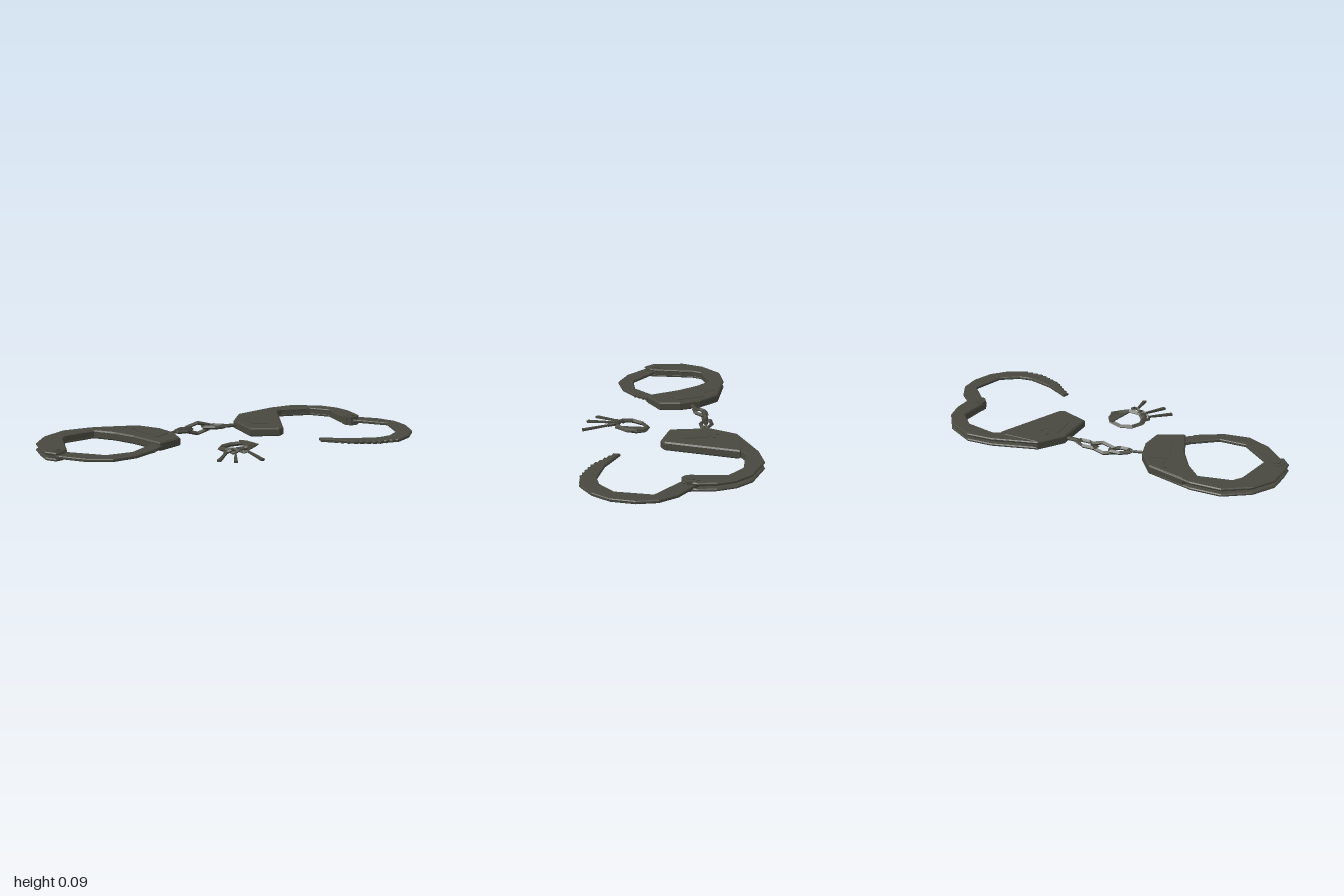
import * as THREE from 'three';

const steel = new THREE.MeshStandardMaterial({ color: 0x48483f, flatShading: true, side: THREE.DoubleSide });
steel.name = 'dark steel';

function add(parent, name, geometry) {
  const mesh = new THREE.Mesh(geometry, steel);
  mesh.name = name;
  parent.add(mesh);
  return mesh;
}

// Flat part: an [x, z] outline raised from y0 to y1, with a chamfer kept inside the outline
function slab(parent, name, pts, y0, y1, bevel = 0) {
  const shape = new THREE.Shape(pts.map(([x, z]) => new THREE.Vector2(x, -z)));
  const geo = new THREE.ExtrudeGeometry(shape, {
    depth: y1 - y0 - 2 * bevel, bevelEnabled: bevel > 0, bevelSegments: 1,
    bevelThickness: bevel, bevelSize: bevel, bevelOffset: -bevel,
  });
  geo.rotateX(-Math.PI / 2);
  geo.translate(0, y0 + bevel, 0);
  return add(parent, name, geo);
}

const inset = (pts, [cx, cz], t) => pts.map(([x, z]) => [x + (cx - x) * t, z + (cz - z) * t]);

// Adds ratchet teeth to the polyline from index 'from' to its end
function toothed(pts, from, centre, pitch = 0.035, depth = 0.013) {
  const out = pts.slice(0, from);
  for (let i = from; i < pts.length - 1; i++) {
    const [a, b] = [pts[i], pts[i + 1]];
    const n = Math.max(1, Math.round(Math.hypot(b[0] - a[0], b[1] - a[1]) / pitch));
    for (let k = 0; k < n; k++) {
      const at = t => [a[0] + (b[0] - a[0]) * t, a[1] + (b[1] - a[1]) * t];
      out.push(at(k / n));
      const tip = at((k + 0.8) / n);
      const r = Math.hypot(tip[0] - centre[0], tip[1] - centre[1]);
      out.push(inset([tip], centre, -depth / r)[0]);
    }
  }
  out.push(pts[pts.length - 1]);
  return out;
}

function cuff(name, d) {
  const g = new THREE.Group();
  g.name = name;
  // Two side plates with a recessed spacer between them
  const frame = [...d.outer, ...d.inner];
  slab(g, 'upperFramePlate', frame, 0.054, 0.069, 0.005);
  slab(g, 'lowerFramePlate', frame, 0.021, 0.036, 0.005);
  slab(g, 'frameSpacer', [...inset(d.outer, d.centre, 0.1), ...d.inner], 0.033, 0.057);
  // Lock housing with its cover plate and keyholes
  slab(g, 'lockHousing', d.housing, 0.02, 0.071, 0.008);
  slab(g, 'lockCover', d.cover, 0.07, 0.074);
  for (const [x, z] of d.holes)
    add(g, 'keyhole', new THREE.CylinderGeometry(0.01, 0.01, 0.006, 6)).position.set(x, 0.072, z);
  // Swinging ratchet arm
  slab(g, 'ratchetArm', [...toothed(d.armOuter, d.teethFrom, d.armCentre), ...d.armInner], 0.036, 0.054, 0.004);
  // Hinge pin
  const pin = (r, h, part) => {
    const m = add(g, part, new THREE.CylinderGeometry(r, r, h, 8));
    m.position.set(d.pivot[0], 0.045, d.pivot[1]);
  };
  pin(0.05, 0.054, 'hingeBoss');
  pin(0.026, 0.062, 'hingeRivet');
  return g;
}

// Thin round bar between two [x, y, z] points
function rod(parent, name, a, b, r) {
  const [p, q] = [new THREE.Vector3(...a), new THREE.Vector3(...b)];
  const m = add(parent, name, new THREE.CylinderGeometry(r, r, p.distanceTo(q), 6));
  m.position.copy(p).add(q).multiplyScalar(0.5);
  m.quaternion.setFromUnitVectors(new THREE.Vector3(0, 1, 0), q.sub(p).normalize());
}

// Six-sided oval chain link between two [x, z] ends
function link(parent, a, b, upright) {
  const dir = new THREE.Vector3(b[0] - a[0], 0, b[1] - a[1]);
  const half = dir.length() / 2;
  dir.normalize();
  const up = new THREE.Vector3(0, 1, 0);
  const side = new THREE.Vector3().crossVectors(dir, up);
  const geo = new THREE.TorusGeometry(0.033, 0.012, 4, 6);
  geo.scale(1, half / 0.039, 1);
  const basis = upright
    ? new THREE.Matrix4().makeBasis(up, dir, side.clone().negate())
    : new THREE.Matrix4().makeBasis(side, dir, up);
  geo.applyMatrix4(basis);
  add(parent, 'chainLink', geo).position.set((a[0] + b[0]) / 2, 0.045, (a[1] + b[1]) / 2);
}

// Small key: ring bow, tapering shank and a bit at the tip
function key(parent, bow, tip, y, drop) {
  const g = new THREE.Group();
  g.name = 'key';
  const len = Math.hypot(tip[0] - bow[0], tip[1] - bow[1]);
  const ring = new THREE.TorusGeometry(0.027, 0.009, 4, 7);
  ring.rotateX(Math.PI / 2 + 0.4);
  add(g, 'keyBow', ring);
  slab(g, 'keyShank', [[0.03, -0.004], [len, -0.011], [len, 0.011], [0.03, 0.004]], -0.006, 0.006);
  g.position.set(bow[0], y, bow[1]);
  g.rotation.set(0, -Math.atan2(tip[1] - bow[1], tip[0] - bow[0]), -drop, 'YXZ');
  parent.add(g);
}

export function createModel() {
  const model = new THREE.Group();
  model.name = 'handcuffs';

  model.add(cuff('closedCuff', {
    centre: [-0.4, 0.65], pivot: [-0.41, 0.93],
    outer: [[-0.35, 0.975], [-0.42, 1.0], [-0.50, 0.975], [-0.615, 0.925], [-0.705, 0.81], [-0.745, 0.645],
      [-0.69, 0.48], [-0.53, 0.25], [-0.38, 0.2]],
    inner: [[-0.3, 0.4], [-0.485, 0.46], [-0.61, 0.52], [-0.635, 0.7], [-0.6, 0.75], [-0.39, 0.875], [-0.36, 0.91]],
    housing: [[-0.53, 0.25], [-0.38, 0.2], [-0.25, 0.208], [-0.135, 0.26], [-0.122, 0.425], [-0.35, 0.435],
      [-0.49, 0.465], [-0.61, 0.52], [-0.66, 0.44]],
    cover: [[-0.43, 0.25], [-0.25, 0.255], [-0.23, 0.36], [-0.44, 0.35]],
    holes: [[-0.54, 0.34], [-0.48, 0.325]],
    armCentre: [-0.36, 0.65], teethFrom: 5,
    armOuter: [[-0.42, 0.975], [-0.34, 0.965], [-0.19, 0.895], [-0.085, 0.79], [-0.055, 0.645], [-0.075, 0.53],
      [-0.115, 0.44], [-0.15, 0.35]],
    armInner: [[-0.25, 0.35], [-0.18, 0.46], [-0.13, 0.62], [-0.18, 0.765], [-0.38, 0.88], [-0.43, 0.9]],
  }));

  model.add(cuff('openCuff', {
    centre: [0.02, -0.6], pivot: [0.2, -0.86],
    outer: [[0.25, -0.87], [0.195, -0.925], [0.1, -0.962], [-0.01, -0.972], [-0.12, -0.94], [-0.26, -0.815],
      [-0.305, -0.665], [-0.322, -0.395], [-0.22, -0.25]],
    inner: [[-0.1, -0.4], [-0.22, -0.6], [-0.22, -0.675], [-0.12, -0.835], [0, -0.89], [0.15, -0.825], [0.21, -0.81]],
    housing: [[-0.322, -0.395], [-0.22, -0.25], [0, -0.172], [0.115, -0.305], [0.11, -0.345], [-0.21, -0.63],
      [-0.25, -0.6]],
    cover: [[-0.14, -0.39], [-0.01, -0.34], [-0.06, -0.26], [-0.2, -0.3]],
    holes: [[-0.17, -0.4], [-0.21, -0.36]],
    armCentre: [0.42, -0.66], teethFrom: 7,
    armOuter: [[0.18, -0.895], [0.24, -0.935], [0.32, -0.98], [0.44, -1.0], [0.55, -0.965], [0.655, -0.885],
      [0.712, -0.78], [0.727, -0.68], [0.67, -0.545], [0.57, -0.44], [0.405, -0.345]],
    armInner: [[0.38, -0.36], [0.515, -0.475], [0.615, -0.61], [0.632, -0.69], [0.6, -0.81], [0.435, -0.925],
      [0.255, -0.84], [0.19, -0.82]],
  }));

  // Chain and the swivels that join it to the cuffs
  const chain = new THREE.Group();
  chain.name = 'chain';
  link(chain, [-0.215, -0.19], [-0.305, -0.06], false);
  link(chain, [-0.275, -0.1], [-0.325, 0.05], true);
  link(chain, [-0.32, 0.005], [-0.32, 0.14], false);
  rod(chain, 'swivel', [-0.225, 0.045, -0.17], [-0.185, 0.045, -0.27], 0.012);
  rod(chain, 'swivel', [-0.32, 0.045, 0.12], [-0.33, 0.045, 0.23], 0.009);
  model.add(chain);

  // Key ring with its keys
  const keys = new THREE.Group();
  keys.name = 'keyRingSet';
  const ring = new THREE.TorusGeometry(0.09, 0.016, 4, 9);
  ring.scale(1, 1.12, 0.8);
  ring.rotateX(Math.PI / 2);
  ring.rotateZ(0.12);
  add(keys, 'keyRing', ring).position.set(0.13, 0.03, 0.065);
  slab(keys, 'ringTab', [[0.06, -0.02], [0.1, -0.045], [0.2, -0.04], [0.24, 0.06], [0.22, 0.075]], 0.034, 0.04);
  key(keys, [0.235, 0.105], [0.412, 0.14], 0.04, 0.1);
  key(keys, [0.2, 0.145], [0.33, 0.27], 0.034, 0.08);
  key(keys, [0.165, 0.165], [0.25, 0.32], 0.03, 0.06);
  model.add(keys);

  return model;
}
